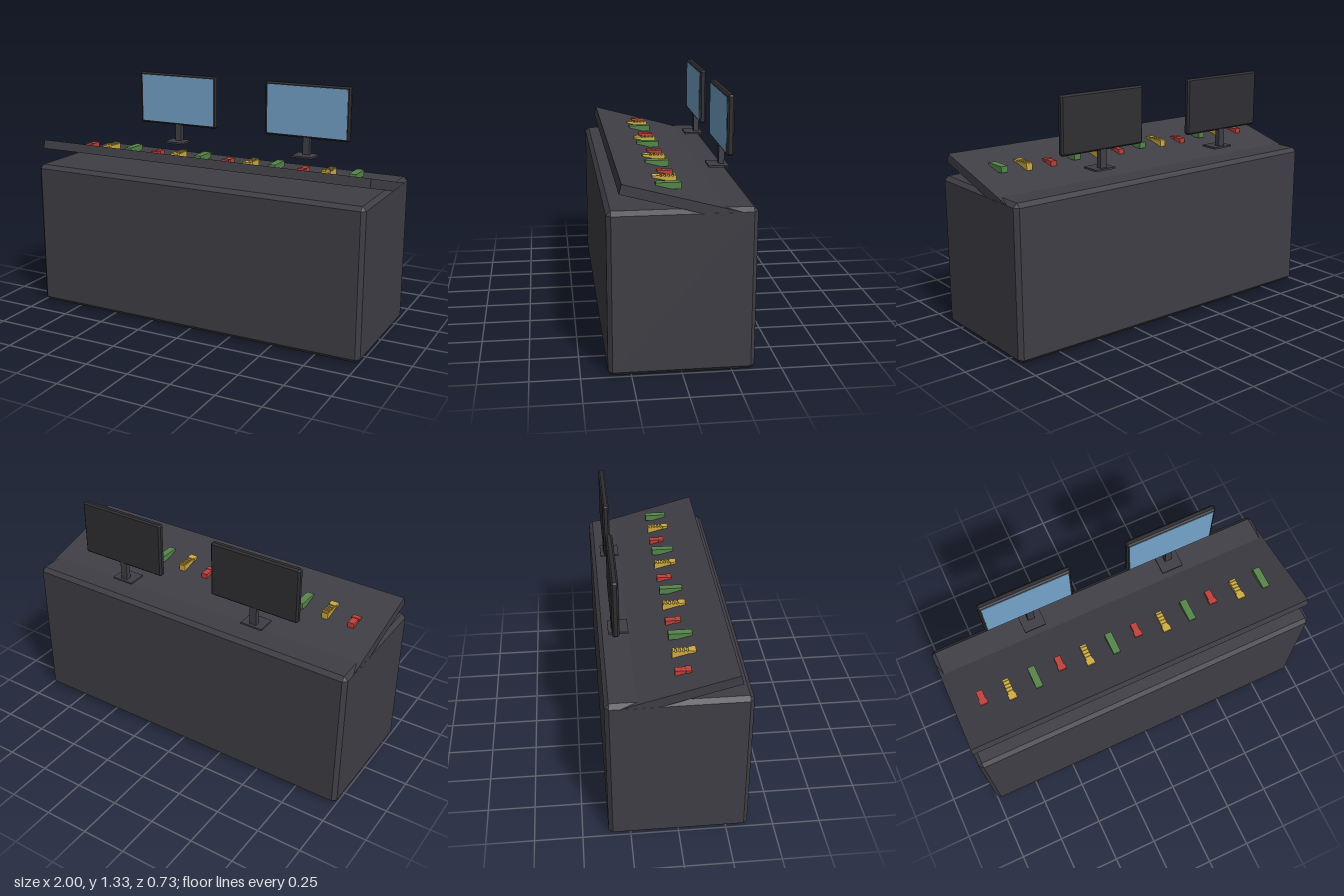
import * as THREE from 'three';
import { ConvexGeometry } from 'three/addons/geometries/ConvexGeometry.js';

// Box with a single flat chamfer on every edge
function chamferBox(w, h, d, c) {
  const points = [];
  for (const x of [-1, 1]) for (const y of [-1, 1]) for (const z of [-1, 1]) {
    points.push(new THREE.Vector3(x * w / 2, y * (h / 2 - c), z * (d / 2 - c)));
    points.push(new THREE.Vector3(x * (w / 2 - c), y * h / 2, z * (d / 2 - c)));
    points.push(new THREE.Vector3(x * (w / 2 - c), y * (h / 2 - c), z * d / 2));
  }
  return new ConvexGeometry(points);
}

export function createModel() {
  const mat = (name, color) => {
    const m = new THREE.MeshStandardMaterial({ color });
    m.name = name;
    return m;
  };
  const casing = mat('charcoal casing', 0x3f3e45);
  const dark = mat('dark frame', 0x2f2f33);
  const glass = mat('screen blue', 0x74a3c9);
  const red = mat('control red', 0xc0403a);
  const yellow = mat('control yellow', 0xcfac42);
  const green = mat('control green', 0x56854a);

  const root = new THREE.Group();
  root.name = 'controlConsole';
  const add = (parent, name, geometry, material, x, y, z) => {
    const mesh = new THREE.Mesh(geometry, material);
    mesh.name = name;
    mesh.position.set(x, y, z);
    parent.add(mesh);
    return mesh;
  };
  const box = (w, h, d) => new THREE.BoxGeometry(w, h, d);

  // Desk body
  add(root, 'deskBody', chamferBox(2, 0.84, 0.73, 0.022), casing, 0, 0.42, 0);

  // Sloping control panel, raised at the front
  const panel = add(root, 'slopedPanel', box(1.999, 0.05, 0.65), casing, 0, 0.865, -0.016);
  panel.rotation.x = -Math.PI / 12;

  // Row of level controls, sunk into the slope at the front
  for (let i = 0; i < 12; i++) {
    const control = new THREE.Group();
    control.name = 'control' + (i + 1);
    control.position.x = -0.84 + i * 0.1527;
    root.add(control);
    if (i % 3 === 0) {
      add(control, 'redKey', box(0.036, 0.03, 0.056), red, 0, 0.906, 0.018);
      add(control, 'redKeyFoot', box(0.046, 0.025, 0.028), red, 0, 0.911, 0.058);
    } else if (i % 3 === 1) {
      add(control, 'yellowSlider', box(0.036, 0.036, 0.122), yellow, 0, 0.91, 0.052);
      add(control, 'yellowSliderFoot', box(0.046, 0.025, 0.03), yellow, 0, 0.922, 0.099);
      // Grip ridges
      for (let k = 0; k < 5; k++)
        add(control, 'gripRidge', box(0.036, 0.008, 0.011), yellow, 0, 0.931, 0.0 + k * 0.02);
    } else {
      add(control, 'greenSwitch', box(0.04, 0.034, 0.125), green, 0, 0.921, 0.052);
    }
  }

  // Two monitors on stands
  for (const side of [-1, 1]) {
    const monitor = new THREE.Group();
    monitor.name = side < 0 ? 'rightMonitor' : 'leftMonitor';
    monitor.position.set(side * 0.42, 0, -0.284);
    root.add(monitor);
    add(monitor, 'frame', chamferBox(0.52, 0.31, 0.036, 0.009), dark, 0, 1.17, 0);
    add(monitor, 'screen', box(0.487, 0.282, 0.004), glass, 0, 1.17, 0.018);
    add(monitor, 'post', box(0.04, 0.11, 0.03), casing, 0, 0.97, 0);
    add(monitor, 'standBase', box(0.125, 0.01, 0.105), casing, 0, 0.915, 0.021);
  }
  return root;
}
